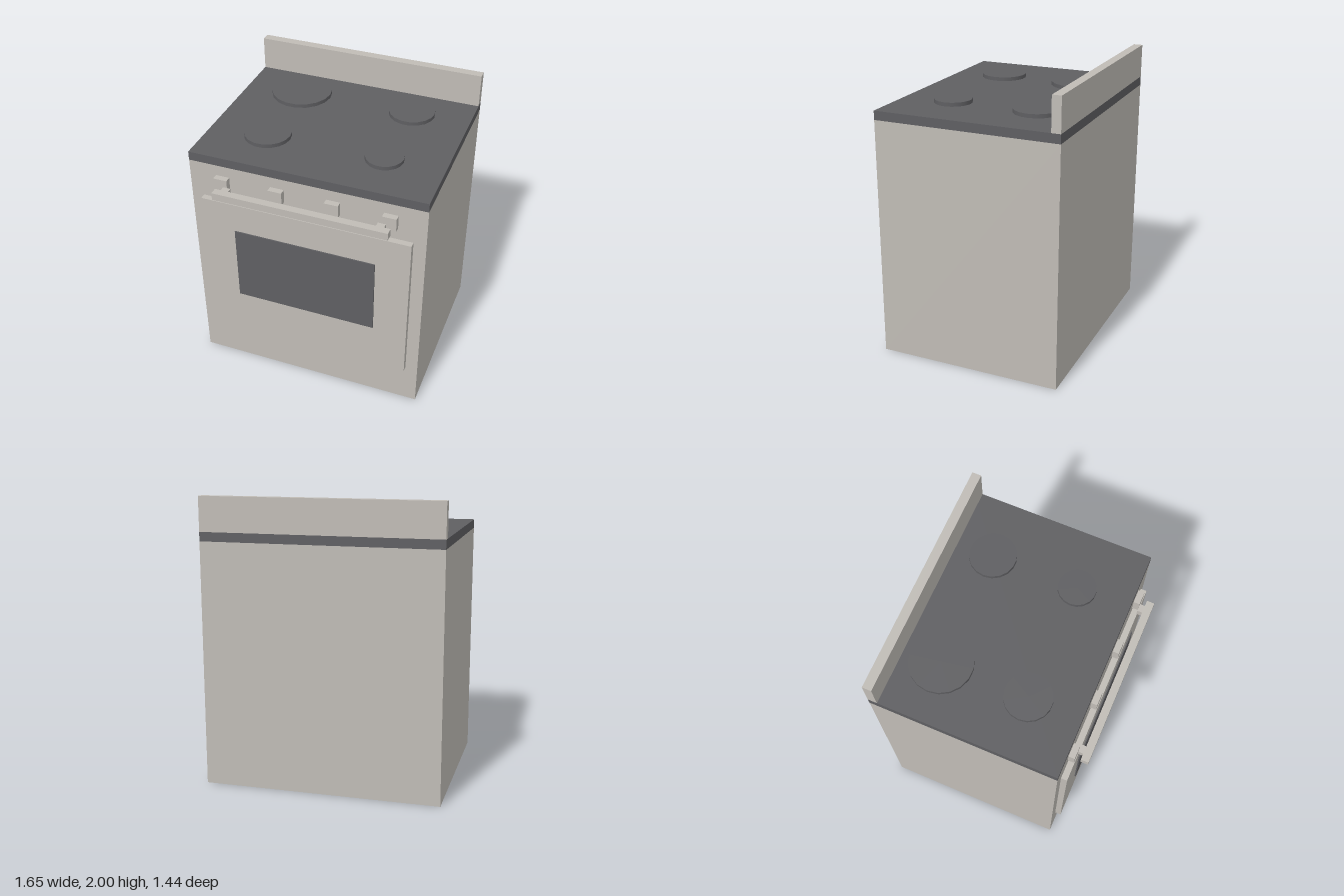
import * as THREE from 'three';

export function createModel() {
  const model = new THREE.Group();
  model.name = 'stove';

  const enamel = new THREE.MeshStandardMaterial({ color: 0xc0bcb6 });
  enamel.name = 'warm grey enamel';
  const dark = new THREE.MeshStandardMaterial({ color: 0x5f5f62 });
  dark.name = 'dark glass';

  // Box given by its minimum and maximum on each axis
  function box(name, material, [x0, x1], [y0, y1], [z0, z1]) {
    const mesh = new THREE.Mesh(new THREE.BoxGeometry(x1 - x0, y1 - y0, z1 - z0), material);
    mesh.position.set((x0 + x1) / 2, (y0 + y1) / 2, (z0 + z1) / 2);
    mesh.name = name;
    model.add(mesh);
  }

  const width = [-0.825, 0.825];
  const back = -0.718, front = 0.587, doorFront = 0.63;

  // Cabinet, cooktop and splashback
  box('body', enamel, width, [0, 1.7], [back, front]);
  box('cooktop', dark, width, [1.7, 1.763], [back, front]);
  box('splashback', enamel, width, [1.763, 2], [back, -0.654]);

  // Oven door with its window
  box('ovenDoor', enamel, [-0.739, 0.739], [0.307, 1.437], [front, doorFront]);
  box('ovenWindow', dark, [-0.502, 0.502], [0.655, 1.22], [doorFront, 0.639]);

  // Handle bar on two short posts
  box('handleBar', enamel, [-0.607, 0.607], [1.516, 1.569], [0.665, 0.718]);
  for (const x of [-0.538, 0.538]) {
    box('handlePost', enamel, [x - 0.027, x + 0.027], [1.516, 1.569], [doorFront, 0.665]);
  }

  // Square control knobs
  for (const x of [-0.585, -0.195, 0.195, 0.585]) {
    box('knob', enamel, [x - 0.048, x + 0.048], [1.527, 1.623], [front, doorFront]);
  }

  // Burners: x, z, radius
  const burners = [
    [-0.415, -0.393, 0.216],
    [0.413, -0.393, 0.162],
    [-0.415, 0.216, 0.162],
    [0.413, 0.216, 0.13],
  ];
  for (const [x, z, radius] of burners) {
    const burner = new THREE.Mesh(new THREE.CylinderGeometry(radius, radius, 0.027, 18), dark);
    burner.rotation.y = Math.PI / 2;
    burner.position.set(x, 1.7765, z);
    burner.name = 'burner';
    model.add(burner);
  }

  return model;
}
